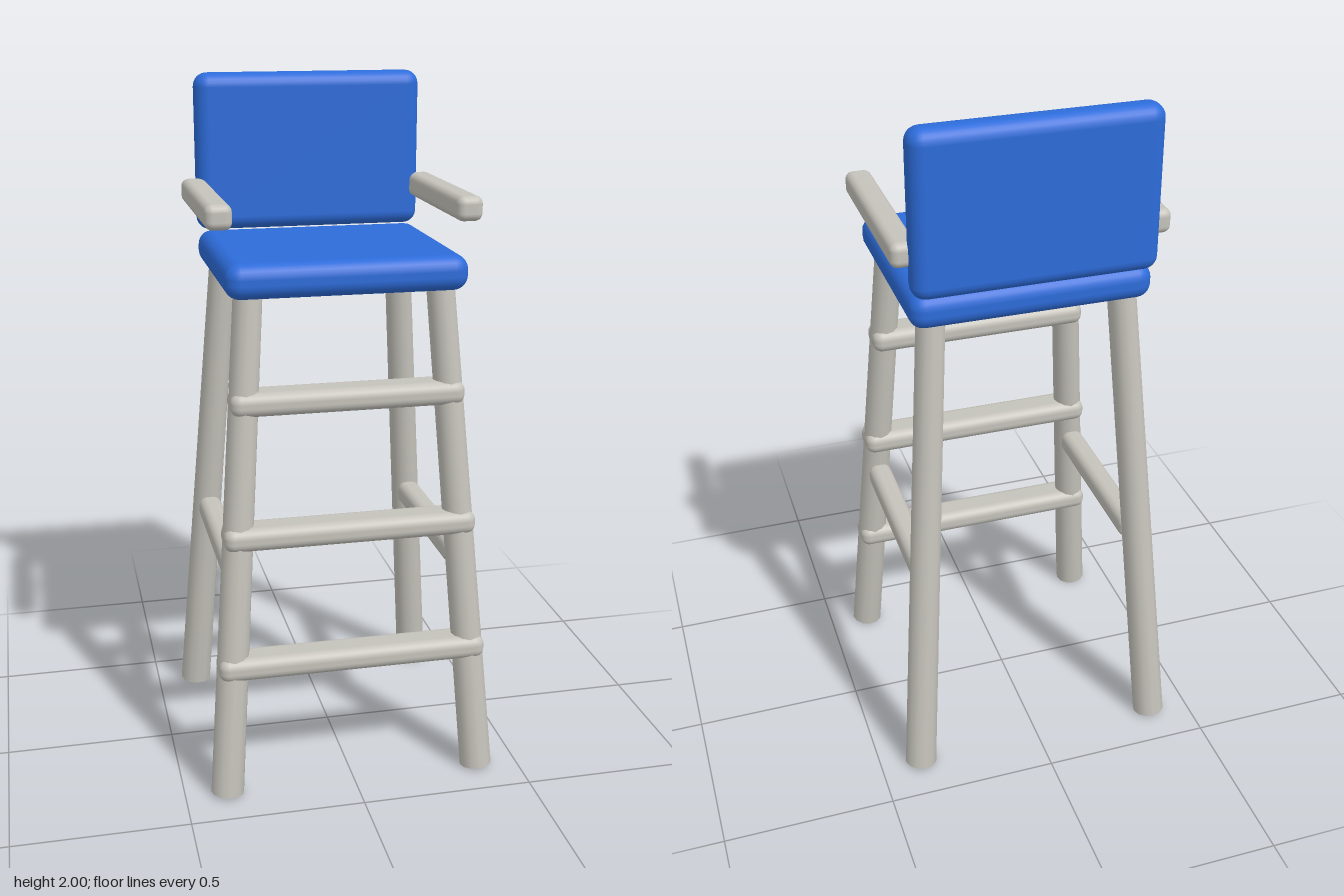
import * as THREE from 'three';
import { mergeVertices } from 'three/addons/utils/BufferGeometryUtils.js';
import { RoundedBoxGeometry } from 'three/addons/geometries/RoundedBoxGeometry.js';

const cushionBlue = new THREE.MeshStandardMaterial({ color: 0x2d6cda });
cushionBlue.name = 'cushionBlue';
const frameGrey = new THREE.MeshStandardMaterial({ color: 0xc5c3bb });
frameGrey.name = 'frameGrey';

export function createModel() {
  const chair = new THREE.Group();
  chair.name = 'highChair';

  const block = (name, material, size, position, radius) => {
    const mesh = new THREE.Mesh(new RoundedBoxGeometry(...size, 3, radius), material);
    mesh.name = name;
    mesh.position.set(...position);
    chair.add(mesh);
  };

  // Splayed leg, tapered to the top, with normals smoothed over the ends
  const leg = (name, foot, top) => {
    const a = new THREE.Vector3(...foot);
    const axis = new THREE.Vector3(...top).sub(a);
    let geometry = new THREE.CylinderGeometry(0.041, 0.048, axis.length(), 12);
    geometry.deleteAttribute('uv');
    geometry.deleteAttribute('normal');
    geometry = mergeVertices(geometry);
    geometry.computeVertexNormals();
    const mesh = new THREE.Mesh(geometry, frameGrey);
    mesh.name = name;
    mesh.position.copy(a).addScaledVector(axis, 0.5);
    mesh.quaternion.setFromUnitVectors(new THREE.Vector3(0, 1, 0), axis.normalize());
    chair.add(mesh);
  };

  // Padded seat and backrest
  block('seat', cushionBlue, [0.68, 0.1, 0.6], [0, 1.49, 0], 0.042);
  block('backrest', cushionBlue, [0.68, 0.46, 0.09], [0, 1.77, -0.288], 0.04);

  // Legs, side rungs and armrests in pairs
  for (const [side, s] of [['left', 1], ['right', -1]]) {
    leg(side + 'FrontLeg', [s * 0.377, 0.006, 0.364], [s * 0.271, 1.46, 0.229]);
    leg(side + 'BackLeg', [s * 0.377, 0.006, -0.364], [s * 0.271, 1.46, -0.229]);
    block(side + 'SideRung', frameGrey, [0.07, 0.07, 0.545], [s * 0.327, 0.655, 0.002], 0.026);
    block(side + 'Armrest', frameGrey, [0.075, 0.07, 0.545], [s * 0.348, 1.66, -0.017], 0.022);
  }

  // Ladder rungs between the front legs
  for (const [y, z, width] of [[0.39, 0.328, 0.784], [0.77, 0.293, 0.73], [1.15, 0.255, 0.668]]) {
    block('frontRung', frameGrey, [width, 0.068, 0.106], [0, y, z], 0.028);
  }
  return chair;
}
